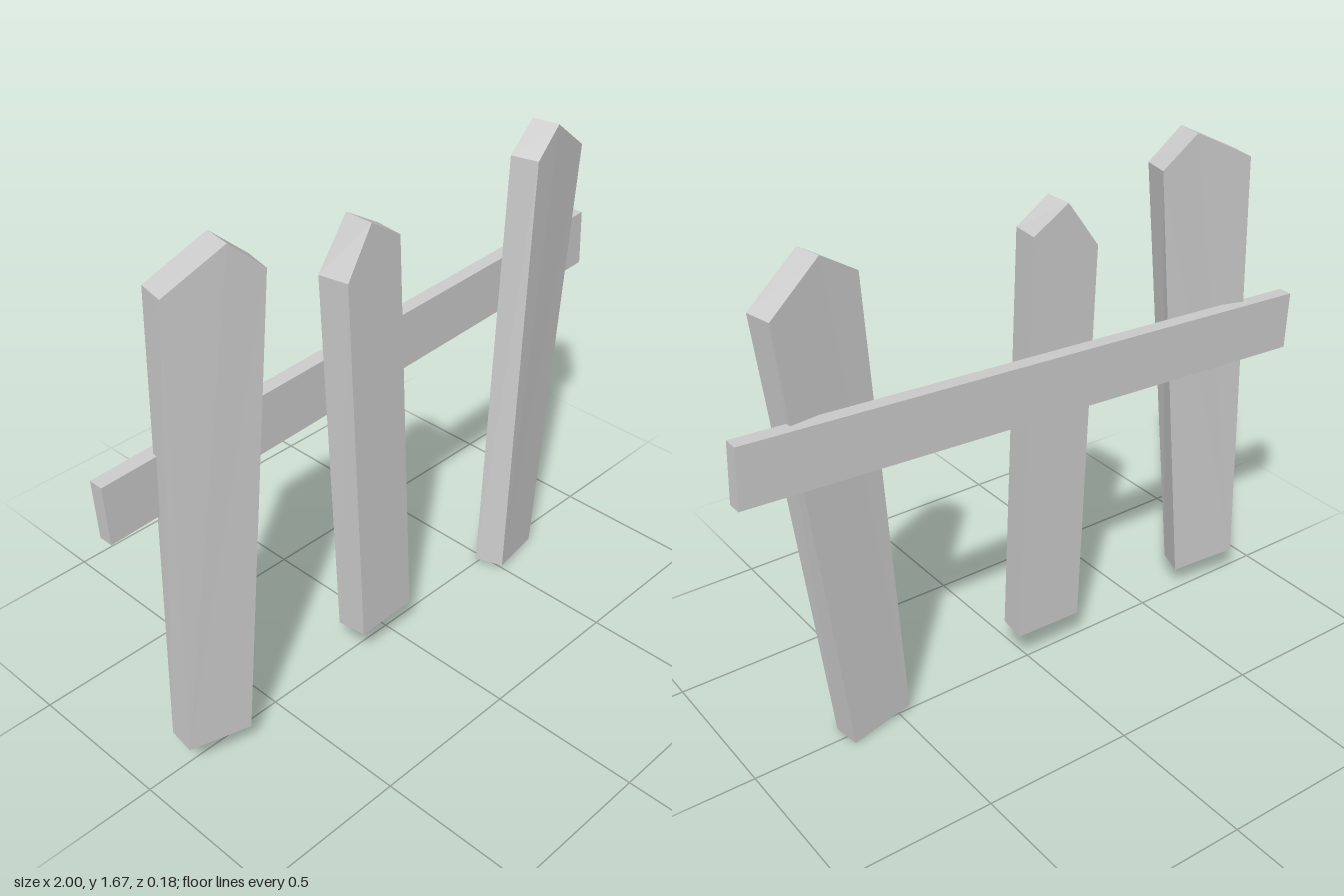
import * as THREE from 'three';

const material = new THREE.MeshStandardMaterial({
  color: 0xcccccc, flatShading: true, side: THREE.DoubleSide,
});

// Pointed board, open underneath. Each corner is [front x, y, front z, back x],
// counter-clockwise: bottom left, bottom right, right shoulder, peak, left shoulder.
function picket(name, depth, corners) {
  const front = corners.map(([x, y, z]) => [x, y, z]);
  const back = corners.map(([, y, z, bx]) => [bx, y, z - depth]);
  const positions = [];
  const tri = (a, b, c) => positions.push(...a, ...b, ...c);

  // front and back faces
  for (let i = 1; i < 4; i++) {
    tri(front[0], front[i], front[i + 1]);
    tri(back[0], back[i + 1], back[i]);
  }
  // sides and sloped tops, skipping the bottom edge
  for (let i = 1; i < 5; i++) {
    const j = (i + 1) % 5;
    tri(front[i], back[i], back[j]);
    tri(front[i], back[j], front[j]);
  }

  const geometry = new THREE.BufferGeometry();
  geometry.setAttribute('position', new THREE.Float32BufferAttribute(positions, 3));
  geometry.computeVertexNormals();
  const mesh = new THREE.Mesh(geometry, material);
  mesh.name = name;
  return mesh;
}

export function createModel() {
  const fence = new THREE.Group();
  fence.name = 'brokenFence';

  // cross rail, slightly tilted
  const rail = new THREE.Mesh(new THREE.BoxGeometry(1.993, 0.19, 0.047), material);
  rail.name = 'rail';
  rail.position.set(0, 1.024, -0.07);
  rail.rotation.z = 0.044;
  fence.add(rail);

  // three crooked pickets
  fence.add(
    picket('rightPicket', 0.092, [
      [-0.877, 0.105, 0.047, -0.865],
      [-0.674, 0.085, 0.088, -0.642],
      [-0.513, 1.57, 0.079, -0.492],
      [-0.62, 1.67, 0.058, -0.605],
      [-0.81, 1.573, 0.019, -0.792],
    ]),
    picket('middlePicket', 0.098, [
      [-0.172, 0.112, 0.068, -0.184],
      [0.042, 0.118, 0.068, 0.055],
      [-0.012, 1.48, 0.068, -0.001],
      [-0.125, 1.555, 0.068, -0.125],
      [-0.217, 1.403, 0.068, -0.235],
    ]),
    picket('leftPicket', 0.091, [
      [0.495, 0.017, 0.09, 0.46],
      [0.692, 0.001, 0.05, 0.68],
      [0.87, 1.462, 0.02, 0.853],
      [0.695, 1.59, 0.057, 0.68],
      [0.577, 1.512, 0.079, 0.556],
    ]),
  );
  return fence;
}
